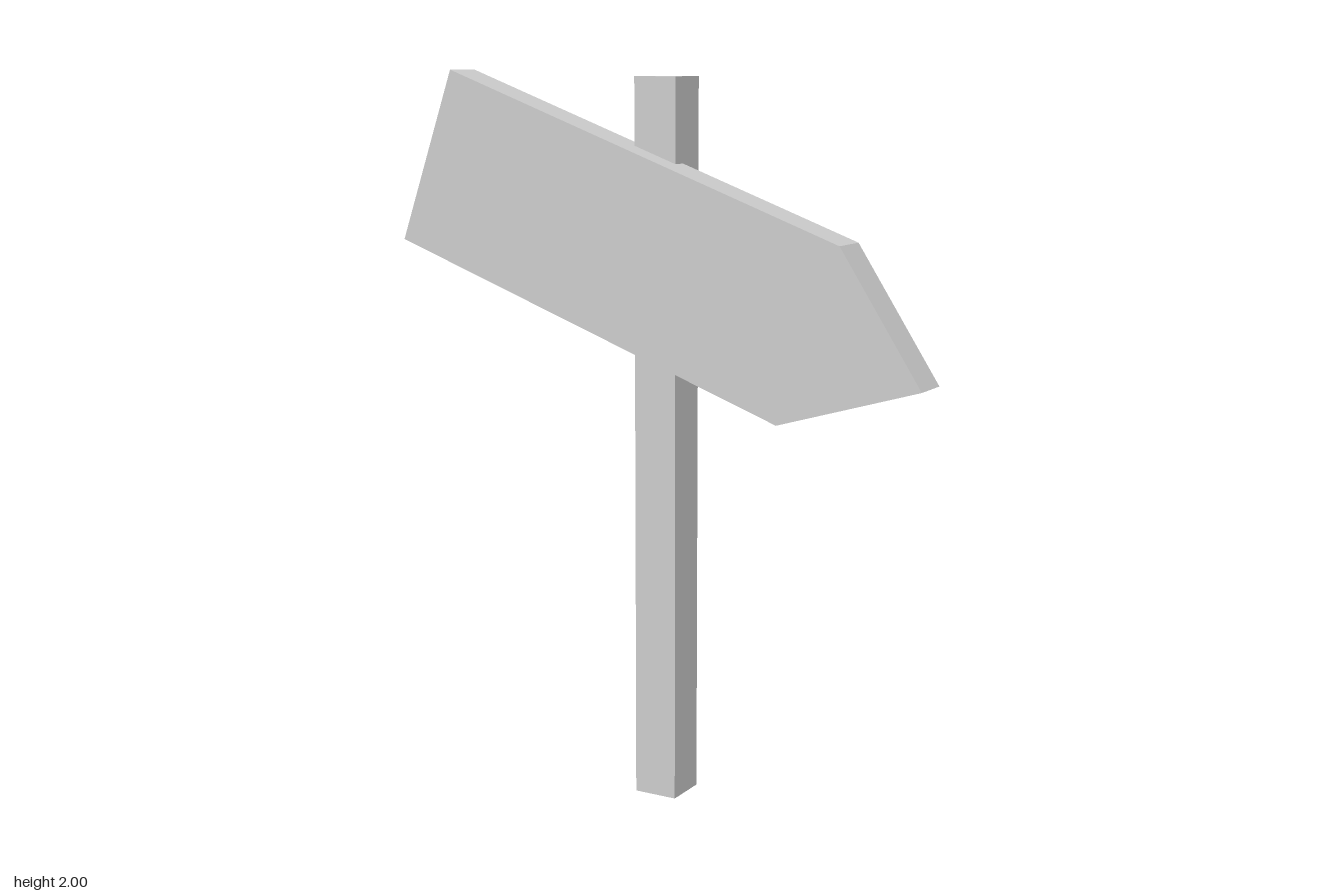
import * as THREE from 'three';

export function createModel() {
  const model = new THREE.Group();
  model.name = 'signpost';
  const grey = new THREE.MeshStandardMaterial({ color: 0xcccccc });
  grey.name = 'plain grey';

  // Square upright post
  const height = 1.984;
  const post = new THREE.Mesh(new THREE.BoxGeometry(0.125, height, 0.125), grey);
  post.name = 'post';
  post.position.set(-0.015, height / 2, -0.037);
  model.add(post);

  // Tilted arrow board, pointing down to the model's left
  const outline = [[-0.79, 1.53], [0.387, 1.103], [0.787, 1.222], [0.558, 1.572], [-0.62, 2]];
  const shape = new THREE.Shape(outline.map(([x, y]) => new THREE.Vector2(x, y)));
  const board = new THREE.Mesh(
    new THREE.ExtrudeGeometry(shape, { depth: 0.114, bevelEnabled: false }), grey);
  board.name = 'arrowBoard';
  board.position.z = -0.015;
  model.add(board);

  return model;
}
